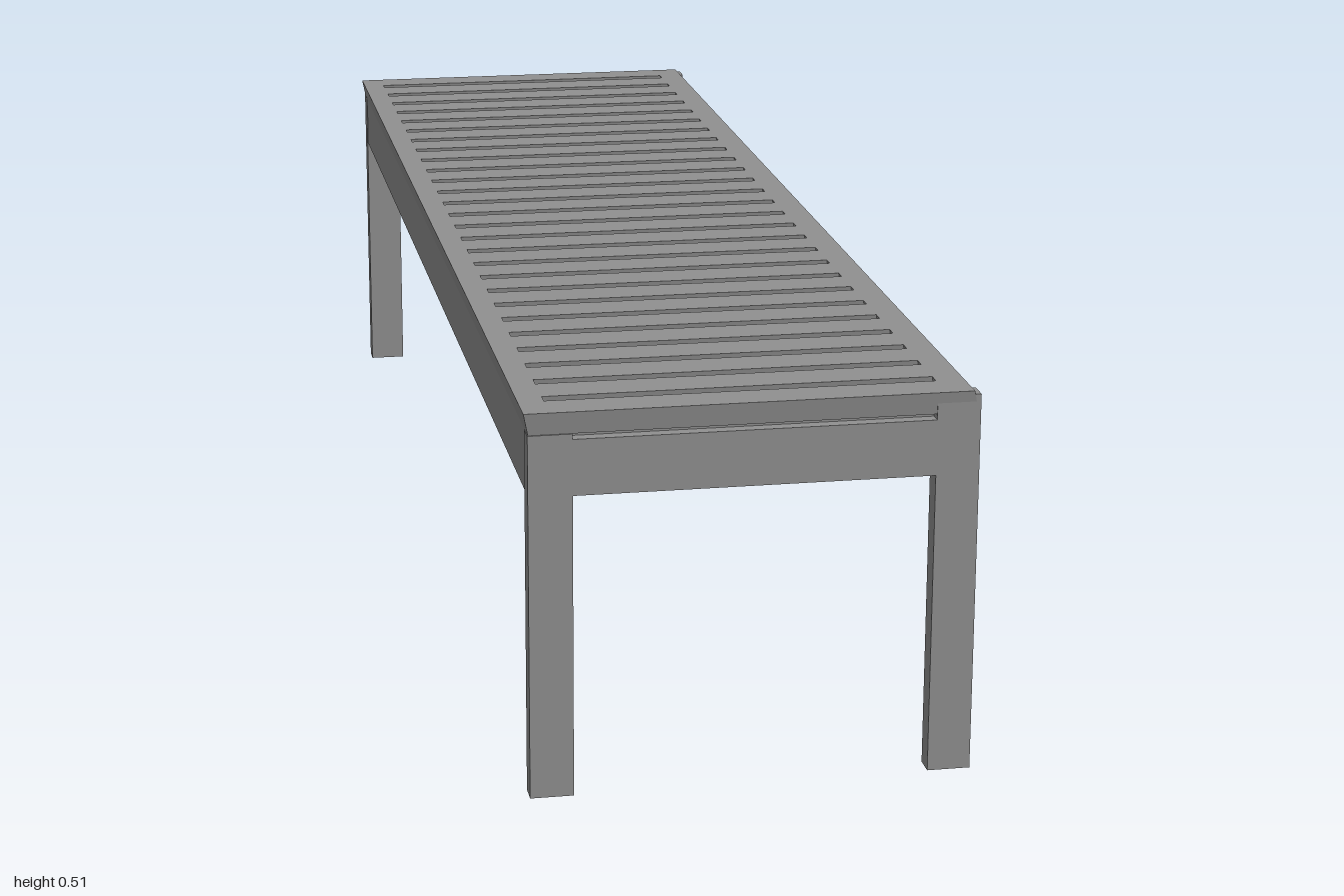
import * as THREE from 'three';

const material = new THREE.MeshStandardMaterial({ color: 0x909090, flatShading: true });

// Box given by its minimum and maximum on each axis
function block(name, [x0, x1], [y0, y1], [z0, z1]) {
  const geometry = new THREE.BoxGeometry(x1 - x0, y1 - y0, z1 - z0);
  geometry.translate((x0 + x1) / 2, (y0 + y1) / 2, (z0 + z1) / 2);
  const mesh = new THREE.Mesh(geometry, material);
  mesh.name = name;
  return mesh;
}

function rectangle(path, x0, x1, y0, y1) {
  path.moveTo(x0, y0);
  path.lineTo(x1, y0);
  path.lineTo(x1, y1);
  path.lineTo(x0, y1);
  path.closePath();
  return path;
}

// Slotted seat; its edges and slots lean a little from bottom to top
function slattedTop() {
  const bottom = 0.48, height = 0.029;
  const outline = rectangle(new THREE.Shape(), -0.283, 0.285, -0.996, 0.999);
  const slots = 27, pitch = 0.0722, slotWidth = 0.018;
  for (let i = 0; i < slots; i++) {
    const centre = (i - (slots - 1) / 2) * pitch + 0.002;
    outline.holes.push(rectangle(new THREE.Path(), -0.25, 0.248,
      centre - slotWidth / 2, centre + slotWidth / 2));
  }
  const geometry = new THREE.ExtrudeGeometry(outline, { depth: height, bevelEnabled: false });
  geometry.rotateX(-Math.PI / 2);
  const shear = new THREE.Matrix4().set(
    1, -0.006 / height, 0, 0,
    0, 1, 0, bottom,
    0, 0.004 / height, 1, 0,
    0, 0, 0, 1);
  geometry.applyMatrix4(shear);
  geometry.computeVertexNormals();
  const mesh = new THREE.Mesh(geometry, material);
  mesh.name = 'slattedTop';
  return mesh;
}

export function createModel() {
  const bench = new THREE.Group();
  bench.name = 'bench';
  bench.add(slattedTop());

  for (const end of [1, -1]) {
    const label = end > 0 ? 'front' : 'back';
    const outer = end > 0 ? 0.998 : 1;
    const span = (inner, face) => (end > 0 ? [inner, face] : [-face, -inner]);

    // Flat legs; the front right one stops beneath the seat
    bench.add(block(label + 'LeftLeg', [0.232, 0.288], [0, 0.504], span(0.97, outer)));
    bench.add(block(label + 'RightLeg', [-0.284, -0.228], [0, end > 0 ? 0.48 : 0.504], span(0.97, outer)));

    // End apron with a shallow groove under the seat
    bench.add(block(label + 'Apron', [-0.228, 0.232], [0.4, 0.473], span(0.97, outer)));
    bench.add(block(label + 'GrooveBack', [-0.228, 0.232], [0.473, 0.48], span(0.97, 0.982)));
  }

  // Long side rails, flush with the underside of the seat
  bench.add(block('leftRail', [0.255, 0.285], [0.4, 0.48], [-0.97, 0.97]));
  bench.add(block('rightRail', [-0.283, -0.253], [0.4, 0.48], [-0.97, 0.97]));
  return bench;
}
